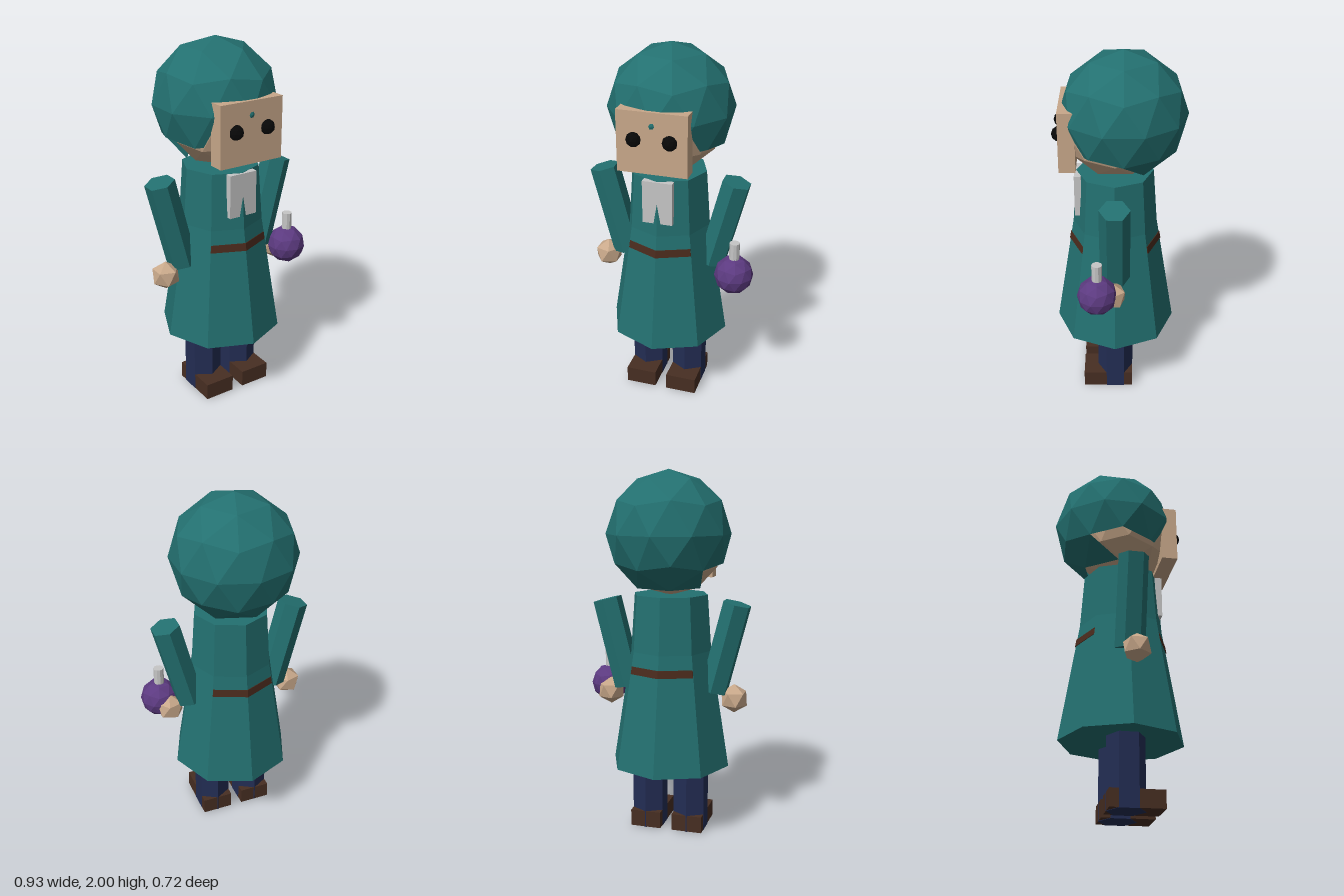
import * as THREE from 'three';

const mat = (name, color) => {
  const m = new THREE.MeshStandardMaterial({ color, flatShading: true });
  m.name = name;
  return m;
};

// Faceted ball with a corner pointing straight up
function ballGeometry(r, detail) {
  return new THREE.IcosahedronGeometry(r, detail)
    .rotateX(-Math.atan((1 + Math.sqrt(5)) / 2))
    .rotateY(Math.PI / 2);
}

export function createModel() {
  const teal = mat('teal cloth', 0x237070);
  const skin = mat('skin', 0xc8a88a);
  const navy = mat('navy trousers', 0x232d54);
  const shoeBrown = mat('shoe brown', 0x472e22);
  const beltBrown = mat('belt brown', 0x4a2a1c);
  const silver = mat('silver grey', 0xc6c6c6);
  const purple = mat('purple', 0x5c3a80);
  const black = mat('black', 0x080808);

  const model = new THREE.Group();
  const CX = -0.03, CZ = 0.025; // body axis

  function add(name, geometry, material, x, y, z) {
    const mesh = new THREE.Mesh(geometry, material);
    mesh.name = name;
    mesh.position.set(x, y, z);
    model.add(mesh);
    return mesh;
  }
  // Upright prism between two heights
  const prism = (name, rTop, rBottom, y0, y1, sides, material, x = CX, z = CZ) =>
    add(name, new THREE.CylinderGeometry(rTop, rBottom, y1 - y0, sides), material, x, (y0 + y1) / 2, z);
  // Box between two corners
  const block = (name, x0, x1, y0, y1, z0, z1, material) =>
    add(name, new THREE.BoxGeometry(x1 - x0, y1 - y0, z1 - z0), material,
      (x0 + x1) / 2, (y0 + y1) / 2, (z0 + z1) / 2);

  // Coat
  prism('coatSkirt', 0.23, 0.335, 0.38, 1.03, 8, teal);
  prism('coatTorso', 0.208, 0.23, 1.03, 1.337, 8, teal);
  prism('belt', 0.247, 0.254, 0.912, 0.953, 8, beltBrown).scale.x = 0.97;
  block('neckcloth', -0.11, 0.053, 1.1, 1.336, 0.205, 0.242, silver);

  // Paired limbs, mirrored about the body axis
  for (const s of [-1, 1]) {
    const side = s < 0 ? 'right' : 'left';
    const legX = CX + s * 0.12;
    prism(side + 'Leg', 0.101, 0.101, 0, 0.45, 6, navy, legX);
    block(side + 'Shoe', legX - 0.0865, legX + 0.0865, 0.002, 0.095, -0.074, 0.207, shoeBrown);

    const arm = add(side + 'Arm', new THREE.CylinderGeometry(0.081, 0.081, 0.5, 6), teal,
      CX + s * 0.309, 1.053, CZ);
    arm.rotation.z = -s * 0.25;
    add(side + 'Hand', ballGeometry(0.08, 0), skin, CX + s * 0.359, 0.768, 0.04);
    add(side + 'Eye', ballGeometry(0.04, 1), black, CX + s * 0.094, 1.588, 0.31);
  }

  // Head and face plate
  add('head', ballGeometry(0.29, 1), skin, CX, 1.62, 0.022);
  block('facePlate', -0.215, 0.155, 1.41, 1.735, 0.225, 0.312, skin);

  // Hair: ball with the faces under the chin and neck left out
  const ball = ballGeometry(0.337, 1);
  const p = ball.attributes.position;
  const kept = [];
  for (let i = 0; i < p.count; i += 3) {
    const cy = (p.getY(i) + p.getY(i + 1) + p.getY(i + 2)) / 3;
    const cz = (p.getZ(i) + p.getZ(i + 1) + p.getZ(i + 2)) / 3;
    if (cy < -0.275 || (cy < -0.18 && cz > -0.06)) continue;
    for (let k = i; k < i + 3; k++) kept.push(p.getX(k), p.getY(k), p.getZ(k));
  }
  const hair = new THREE.BufferGeometry();
  hair.setAttribute('position', new THREE.Float32BufferAttribute(kept, 3));
  hair.computeVertexNormals();
  teal.side = THREE.DoubleSide;
  add('hair', hair, teal, CX, 1.663, -0.02);

  // Round flask in the left hand
  add('flask', ballGeometry(0.107, 1), purple, 0.362, 0.793, 0.118);
  prism('flaskNeck', 0.028, 0.028, 0.87, 0.985, 10, silver, 0.362, 0.118);

  return model;
}
